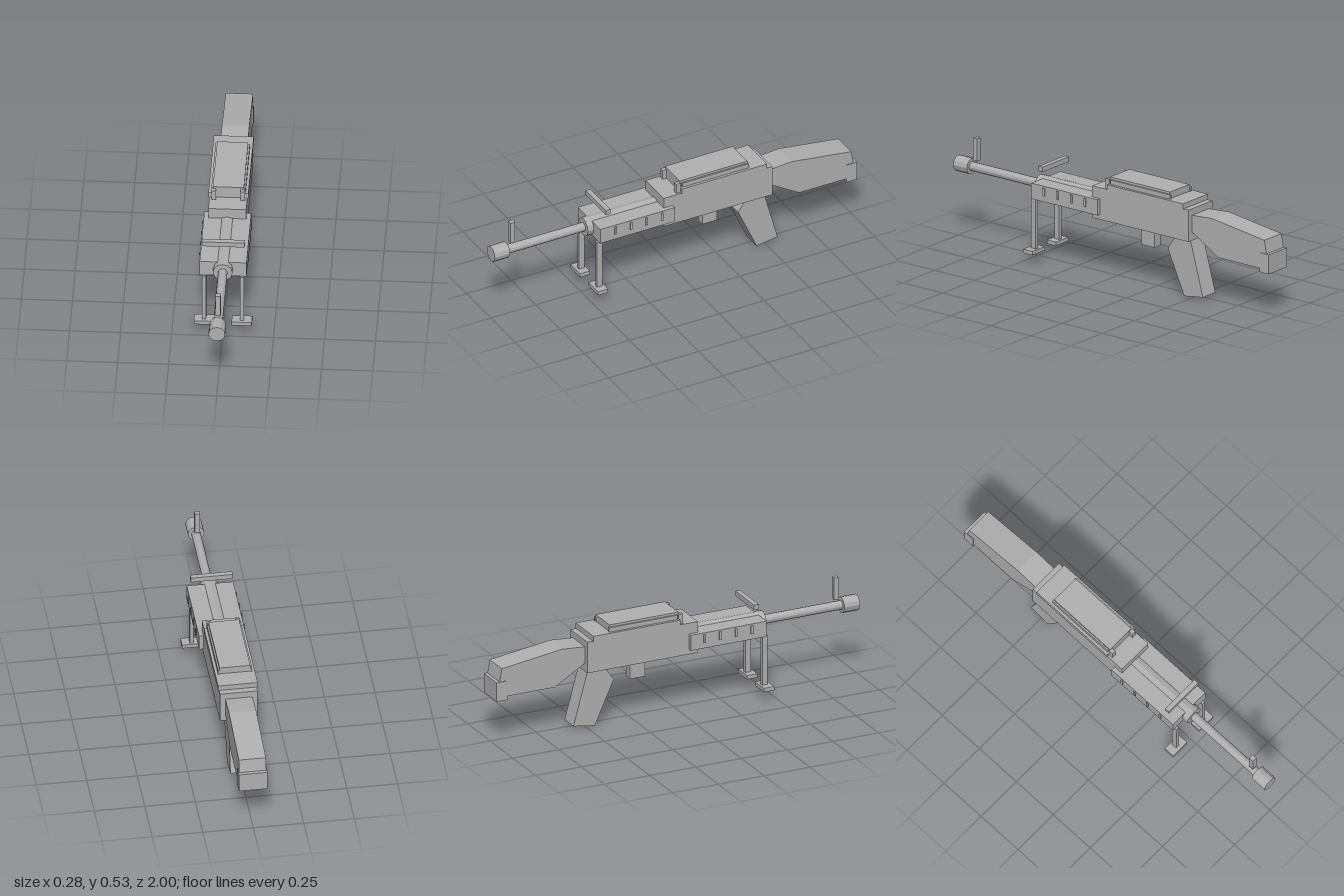
import * as THREE from 'three';

const grey = new THREE.MeshStandardMaterial({ color: 0xb0b0b0, flatShading: true });
grey.name = 'plain grey';

export function createModel() {
  const model = new THREE.Group();
  model.name = 'longBarrelProp';

  const add = (name, geometry) => {
    const mesh = new THREE.Mesh(geometry, grey);
    mesh.name = name;
    model.add(mesh);
    return mesh;
  };

  // Box given by its limits on each axis
  const box = (name, x0, x1, y0, y1, z0, z1) =>
    add(name, new THREE.BoxGeometry(x1 - x0, y1 - y0, z1 - z0)
      .translate((x0 + x1) / 2, (y0 + y1) / 2, (z0 + z1) / 2));

  // Twelve-sided tube along z on the barrel axis
  const round = (name, radius, z0, z1) =>
    add(name, new THREE.CylinderGeometry(radius, radius, z1 - z0, 12)
      .rotateX(Math.PI / 2).translate(0, 0.373, (z0 + z1) / 2));

  // Side outline of [z, y] points, extruded across x
  const outline = (name, halfWidth, points) => {
    const shape = new THREE.Shape(points.map(([z, y]) => new THREE.Vector2(z, y)));
    add(name, new THREE.ExtrudeGeometry(shape, { depth: halfWidth * 2, bevelEnabled: false })
      .translate(0, 0, -halfWidth).rotateY(-Math.PI / 2));
  };

  // Barrel
  round('barrel', 0.023, 0.47, 0.93);
  round('barrelShroud', 0.048, 0.05, 0.486);
  round('muzzle', 0.041, 0.915, 1);
  box('frontSight', -0.013, 0.013, 0.41, 0.526, 0.872, 0.897);
  box('carryBar', -0.104, 0.104, 0.478, 0.504, 0.39, 0.416);

  // Receiver and top cover
  box('receiver', -0.093, 0.093, 0.304, 0.468, -0.516, 0.088);
  box('receiverCover', -0.098, 0.098, 0.465, 0.495, -0.485, -0.01);
  box('topPlate', -0.076, 0.076, 0.495, 0.53, -0.387, -0.01);

  // Handguard
  box('handguard', -0.115, 0.115, 0.331, 0.412, 0.038, 0.453);

  for (const side of [-1, 1]) {
    const sideBox = (name, a, b, ...rest) =>
      box(name, Math.min(a * side, b * side), Math.max(a * side, b * side), ...rest);

    // Cover rails and front posts
    sideBox('coverRail', 0.074, 0.084, 0.49, 0.518, -0.392, -0.02);
    sideBox('coverPost', 0.06, 0.082, 0.465, 0.52, -0.012, 0.012);

    // Handguard fins
    for (let i = 0; i < 4; i++) {
      const z = 0.112 + i * 0.086;
      sideBox('handguardFin', 0.118, 0.122, 0.362, 0.405, z - 0.006, z + 0.006);
    }

    // Bipod
    sideBox('bipodLeg', 0.083, 0.102, 0.068, 0.331, 0.435, 0.464);
    sideBox('bipodFoot', 0.043, 0.142, 0.052, 0.072, 0.424, 0.481);
  }

  // Trigger block, grip and stock
  box('triggerBlock', -0.022, 0.022, 0.199, 0.286, -0.247, -0.165);
  outline('grip', 0.049, [
    [-0.405, 0.306], [-0.49, 0.306], [-0.57, 0.017], [-0.453, 0], [-0.35, 0.226],
  ]);
  outline('stock', 0.067, [
    [-0.51, 0.434], [-0.64, 0.444], [-0.97, 0.4], [-0.988, 0.3],
    [-0.988, 0.25], [-0.68, 0.25], [-0.51, 0.352],
  ]);
  box('buttPad', -0.071, 0.071, 0.232, 0.332, -1, -0.942);

  return model;
}
